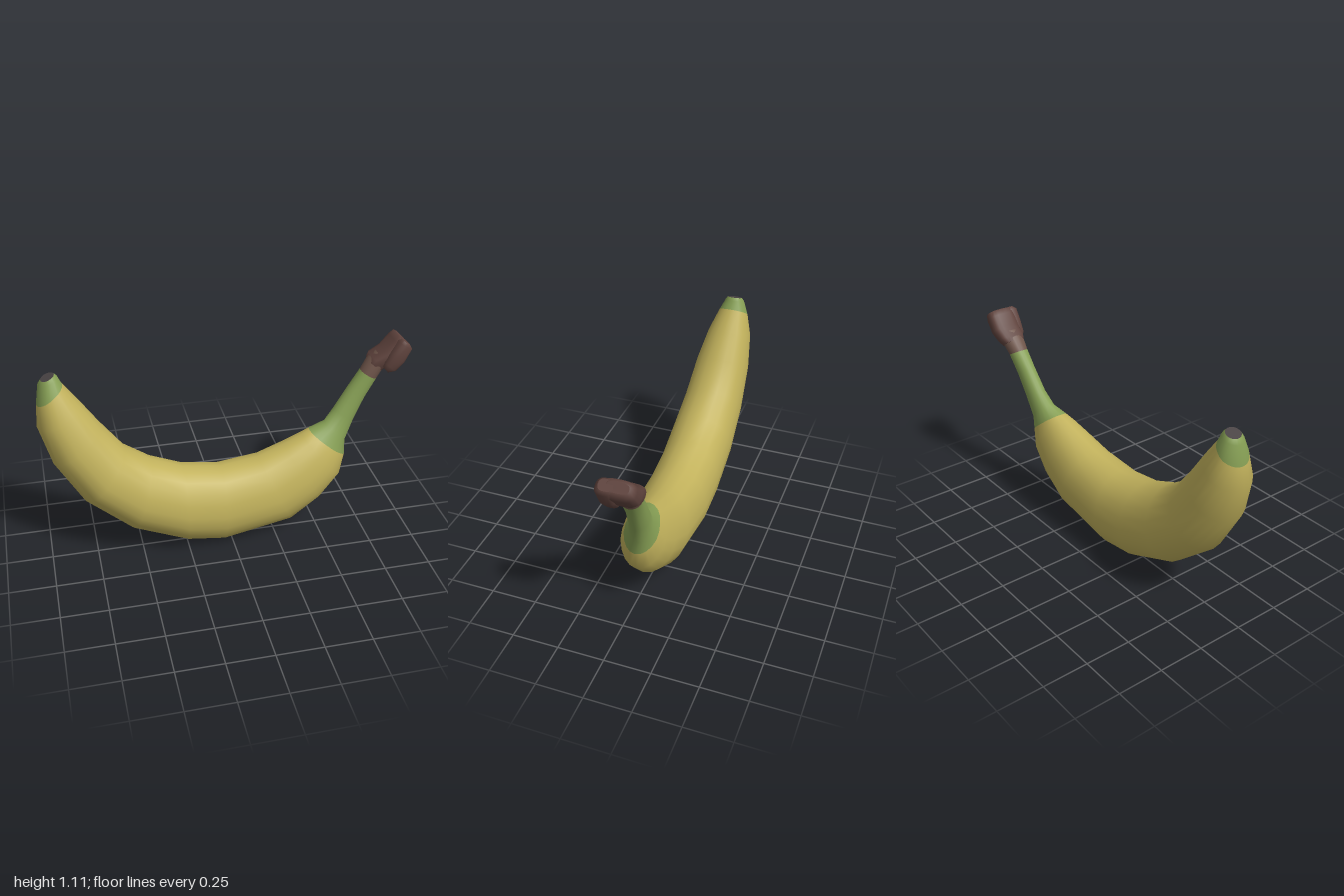
import * as THREE from 'three';

const SIDES = 20;

// Section: [upperX, upperY, lowerX, lowerY, centreZ, halfWidthZ]
// Skins a row of sections; bands = [[firstSection, lastSection, materialIndex], ...]
function loft(sections, bands, capStart, capEnd, boxy = 1, ridge = 0) {
  const pos = [], index = [];
  const shape = (v) => Math.sign(v) * Math.pow(Math.abs(v), boxy);
  const ringPoint = ([ux, uy, lx, ly, zc, hw], j) => {
    const a = (j / SIDES) * Math.PI * 2;
    const c = shape(Math.cos(a)), s = shape(Math.sin(a));
    // soft five-sided swelling of the flanks
    const k = 1 + ridge * (Math.cos(5 * a + Math.PI) - 1) * Math.abs(s);
    return [(ux + lx) / 2 + c * (ux - lx) / 2, (uy + ly) / 2 + c * (uy - ly) / 2, zc + s * hw * k];
  };
  const addRing = (sec) => {
    const start = pos.length / 3;
    for (let j = 0; j < SIDES; j++) pos.push(...ringPoint(sec, j));
    return start;
  };
  sections.forEach(addRing);

  const geo = new THREE.BufferGeometry();
  for (const [from, to, material] of bands) {
    const first = index.length;
    for (let i = from; i < to; i++) {
      for (let j = 0; j < SIDES; j++) {
        const n = (j + 1) % SIDES;
        const a = i * SIDES + j, b = i * SIDES + n, c = b + SIDES, d = a + SIDES;
        index.push(a, b, c, a, c, d);
      }
    }
    geo.addGroup(first, index.length - first, material);
  }

  // Flat end caps with their own vertices, so the rim stays crisp
  const cap = (sec, flip, material) => {
    const first = index.length, start = addRing(sec);
    const centre = pos.length / 3;
    pos.push((sec[0] + sec[2]) / 2, (sec[1] + sec[3]) / 2, sec[4]);
    for (let j = 0; j < SIDES; j++) {
      const p = start + j, q = start + (j + 1) % SIDES;
      index.push(centre, flip ? q : p, flip ? p : q);
    }
    geo.addGroup(first, index.length - first, material);
  };
  if (capStart !== null) cap(sections[0], true, capStart);
  if (capEnd !== null) cap(sections[sections.length - 1], false, capEnd);

  geo.setAttribute('position', new THREE.Float32BufferAttribute(pos, 3));
  geo.setIndex(index);
  geo.computeVertexNormals();
  return geo;
}

export function createModel() {
  const mat = (name, color) => {
    const m = new THREE.MeshStandardMaterial({ color });
    m.name = name;
    return m;
  };
  const yellow = mat('yellowPeel', 0xc2b25c);
  const green = mat('greenPeel', 0x87a055);
  const collar = mat('lightBrown', 0x6f554a);
  const brown = mat('darkBrown', 0x5f433d);
  const dark = mat('blossomEnd', 0x494344);
  const materials = [yellow, green, collar, brown, dark];

  const model = new THREE.Group();
  model.name = 'banana';
  const add = (name, geo) => {
    const mesh = new THREE.Mesh(geo, materials);
    mesh.name = name;
    model.add(mesh);
  };

  // Peel: blossom end, curved body, stem and stem collar in one smooth skin
  add('peel', loft([
    [-0.885, 1.10, -0.955, 1.075, -0.05, 0.042],
    [-0.87, 1.085, -0.972, 1.05, -0.05, 0.055],
    [-0.85, 1.04, -0.99, 0.945, -0.045, 0.085],
    [-0.77, 0.93, -1.0, 0.82, -0.035, 0.125],
    [-0.68, 0.80, -0.945, 0.62, -0.022, 0.155],
    [-0.565, 0.65, -0.80, 0.37, -0.01, 0.172],
    [-0.43, 0.56, -0.56, 0.16, -0.003, 0.183],
    [-0.26, 0.49, -0.26, 0.03, -0.003, 0.183],
    [-0.05, 0.46, -0.05, 0.0, -0.005, 0.181],
    [0.16, 0.485, 0.35, 0.07, -0.013, 0.17],
    [0.31, 0.54, 0.52, 0.18, -0.025, 0.147],
    [0.41, 0.58, 0.635, 0.31, -0.035, 0.12],
    [0.455, 0.60, 0.662, 0.43, -0.042, 0.092],
    [0.545, 0.632, 0.665, 0.51, -0.055, 0.063],
    [0.60, 0.70, 0.715, 0.63, -0.07, 0.053],
    [0.68, 0.82, 0.775, 0.755, -0.082, 0.05],
    [0.745, 0.91, 0.835, 0.86, -0.09, 0.054],
    [0.79, 0.98, 0.87, 0.92, -0.098, 0.064],
    [0.83, 1.01, 0.91, 0.96, -0.10, 0.06],
  ], [[0, 2, 1], [2, 12, 0], [12, 16, 1], [16, 18, 2]], 4, 3, 1, 0.02));

  // Broad woody head of the stem
  add('stemHead', loft([
    [0.785, 0.965, 0.86, 0.91, -0.10, 0.062],
    [0.80, 0.99, 0.89, 0.935, -0.105, 0.074],
    [0.86, 1.025, 0.94, 0.96, -0.103, 0.08],
    [0.91, 1.085, 0.985, 1.02, -0.10, 0.082],
    [0.935, 1.105, 0.995, 1.05, -0.10, 0.076],
    [0.948, 1.10, 0.985, 1.065, -0.10, 0.055],
  ], [[0, 5, 3]], 3, 3, 0.7));

  // Knuckle folded over the front of the head
  add('stemKnuckle', loft([
    [0.85, 0.945, 0.88, 0.91, -0.045, 0.03],
    [0.855, 0.975, 0.92, 0.92, -0.04, 0.044],
    [0.885, 1.03, 0.965, 0.97, -0.04, 0.048],
    [0.925, 1.09, 1.0, 1.045, -0.04, 0.048],
    [0.945, 1.10, 0.99, 1.065, -0.045, 0.036],
  ], [[0, 4, 3]], 3, 3, 0.75));

  return model;
}
